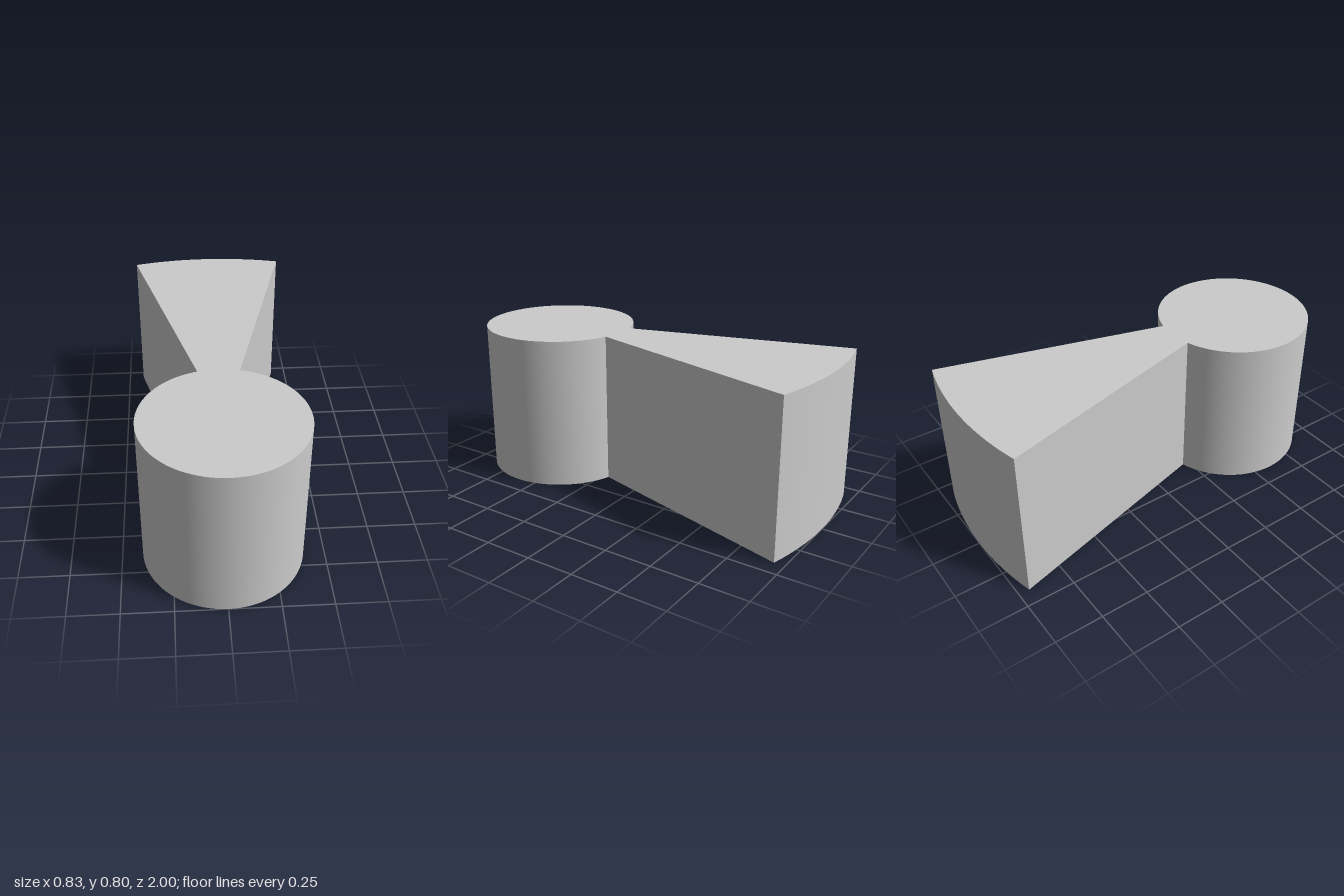
import * as THREE from 'three';
import { toCreasedNormals } from 'three/addons/utils/BufferGeometryUtils.js';

const HEIGHT = 0.8;
const HUB_Z = 0.6; // the hub and the wedge's curved end share this centre
const HUB_RADIUS = 0.4;
const WEDGE_RADIUS = 1.6;
const HALF_ANGLE = Math.PI / 12;

export function createModel() {
  const group = new THREE.Group();
  group.name = 'hubWithWedge';

  // Plan outline (shape y becomes -z): wedge's curved end, then round the hub
  const start = Math.PI / 2 - HALF_ANGLE;
  const end = Math.PI / 2 + HALF_ANGLE;
  const outline = new THREE.Shape();
  outline.absarc(0, -HUB_Z, WEDGE_RADIUS, start, end, false);
  outline.absarc(0, -HUB_Z, HUB_RADIUS, end, start + Math.PI * 2, false);
  outline.closePath();

  // Upright block with smooth curved walls and sharp corners
  const solid = new THREE.ExtrudeGeometry(outline, {
    depth: HEIGHT,
    bevelEnabled: false,
    curveSegments: 64,
  });
  solid.rotateX(-Math.PI / 2);

  const body = new THREE.Mesh(
    toCreasedNormals(solid, 0.5),
    new THREE.MeshStandardMaterial({ color: 0xcccccc })
  );
  body.name = 'hubAndWedge';
  group.add(body);
  return group;
}
